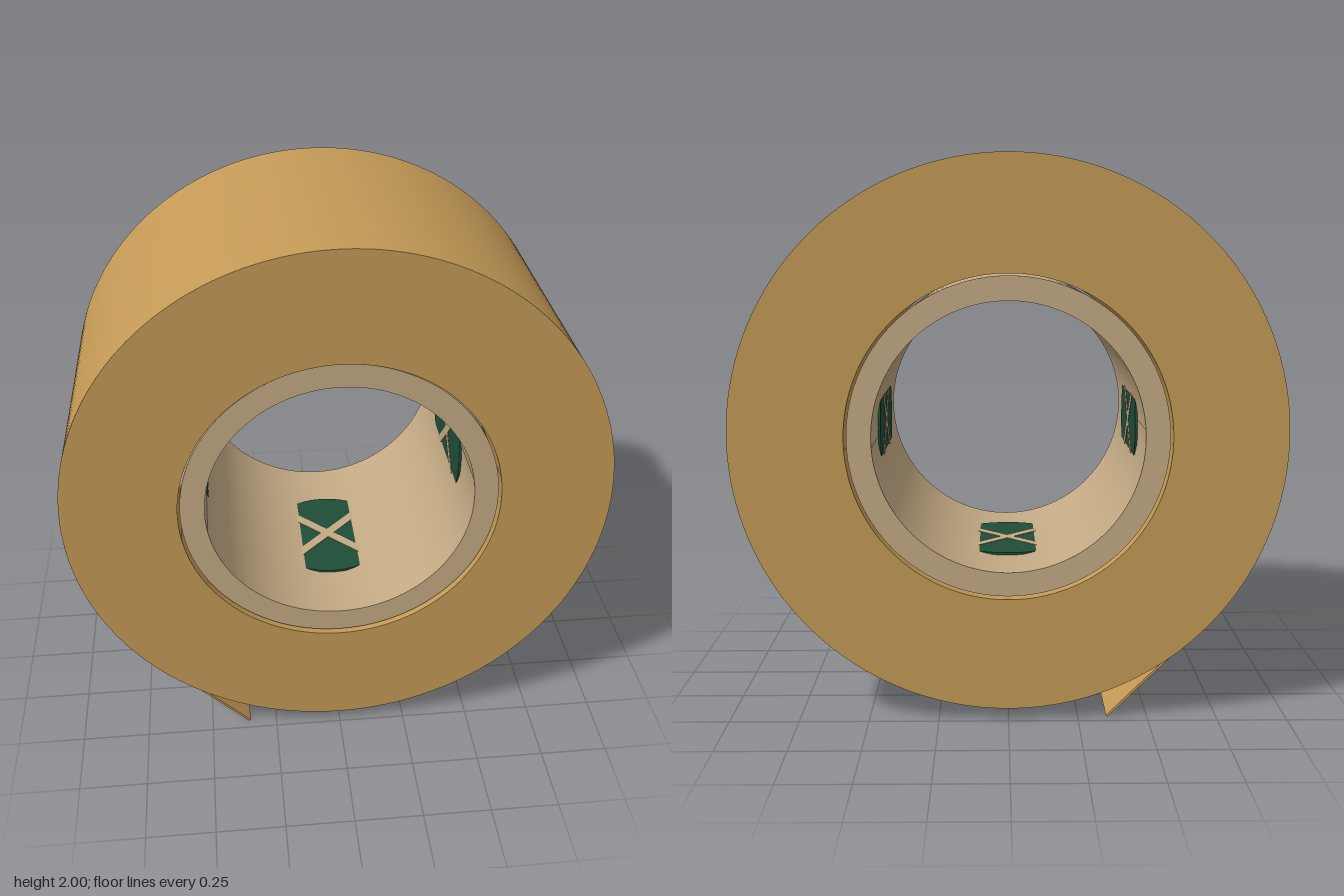
import * as THREE from 'three';
import { toCreasedNormals } from 'three/addons/utils/BufferGeometryUtils.js';

const CENTRE_Y = 1.023;
const ROLL_RADIUS = 0.977;

const tapeTan = new THREE.MeshStandardMaterial({ color: 0xc49a56 });
tapeTan.name = 'tapeTan';
const cardboard = new THREE.MeshStandardMaterial({ color: 0xc4aa84 });
cardboard.name = 'cardboard';
const labelGreen = new THREE.MeshStandardMaterial({ color: 0x1f4d38 });
labelGreen.name = 'labelGreen';

function part(name, geometry, material) {
  const mesh = new THREE.Mesh(geometry, material);
  mesh.name = name;
  return mesh;
}

// Smooth ring around the z axis, centred on z = 0
function ring(outer, inner, width) {
  const shape = new THREE.Shape().absarc(0, 0, outer, 0, Math.PI * 2, false);
  shape.holes.push(new THREE.Path().absarc(0, 0, inner, 0, Math.PI * 2, true));
  const geometry = new THREE.ExtrudeGeometry(shape, {
    depth: width, bevelEnabled: false, curveSegments: 96,
  });
  geometry.translate(0, 0, -width / 2);
  return toCreasedNormals(geometry, 0.5);
}

// Flat round label with crossed strips; its edges sink into the core wall
function createLabel() {
  const label = new THREE.Group();
  label.name = 'coreLabel';
  const disc = part('labelDisc', new THREE.CylinderGeometry(0.245, 0.245, 0.009, 32), labelGreen);
  disc.position.y = -0.4715;
  label.add(disc);
  for (const side of [-1, 1]) {
    const strip = part('labelStrip', new THREE.BoxGeometry(0.4, 0.008, 0.036), cardboard);
    strip.position.y = -0.469;
    strip.rotation.y = side * Math.PI / 4;
    label.add(strip);
  }
  return label;
}

export function createModel() {
  const model = new THREE.Group();
  model.name = 'tapeRoll';

  // Wound tape and the loose-fitting core inside it
  const roll = new THREE.Group();
  roll.name = 'roll';
  roll.position.y = CENTRE_Y;
  roll.add(part('woundTape', ring(ROLL_RADIUS, 0.573, 0.98), tapeTan));
  roll.add(part('core', ring(0.565, 0.479, 0.95), cardboard));

  // Four labels spaced around the inside of the core
  for (let i = 0; i < 4; i++) {
    const label = createLabel();
    label.rotation.z = i * Math.PI / 2;
    roll.add(label);
  }
  model.add(roll);

  // Loose tape end, leaving the roll at 45 degrees
  const start = new THREE.Vector2(-0.66, 0.311);
  const end = new THREE.Vector2(-0.355, 0.006);
  const flap = part('tapeEnd',
    new THREE.BoxGeometry(start.distanceTo(end), 0.008, 0.93), tapeTan);
  flap.position.set((start.x + end.x) / 2, (start.y + end.y) / 2, 0);
  flap.rotation.z = -Math.PI / 4;
  model.add(flap);

  return model;
}
